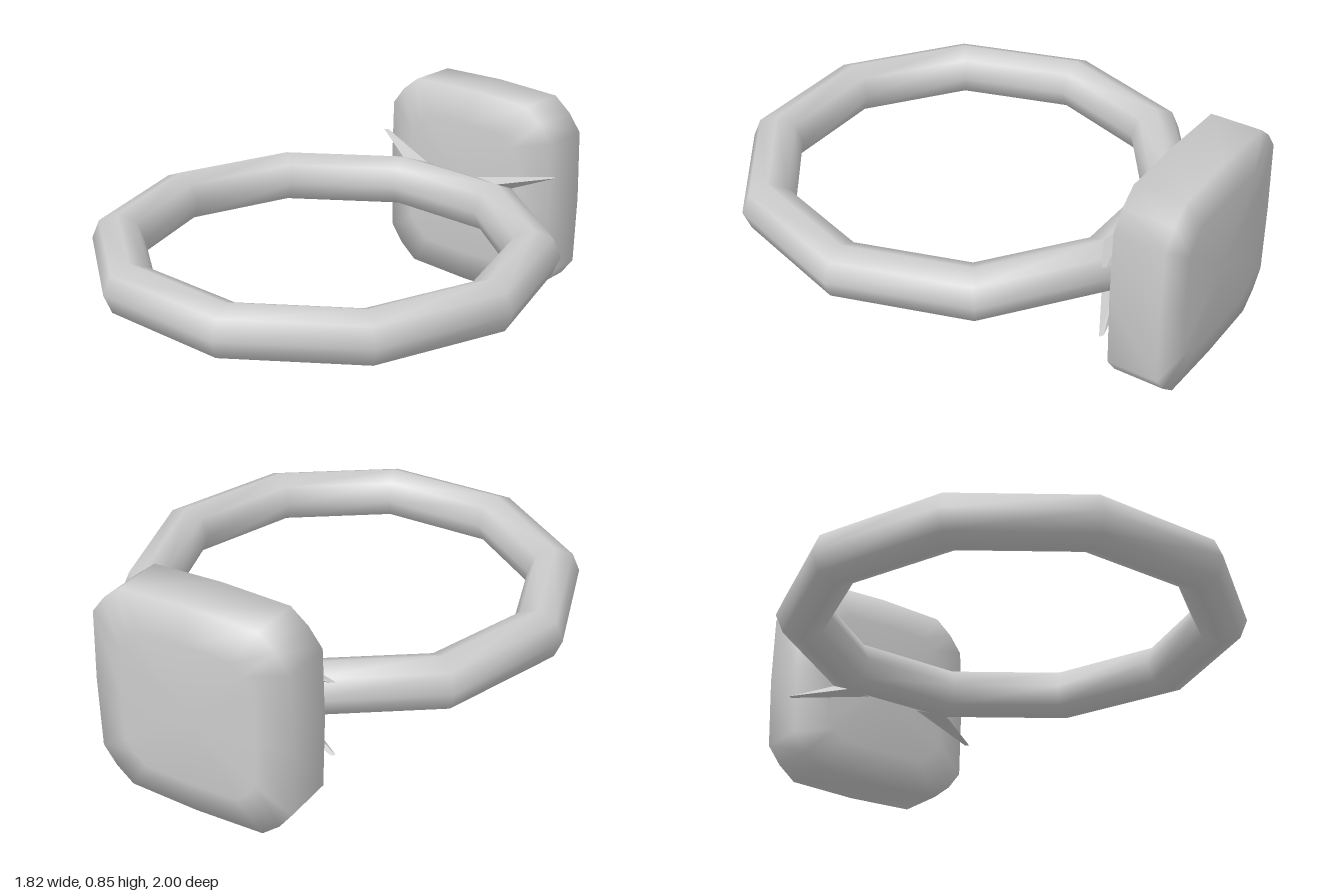
import * as THREE from 'three';
import { ConvexGeometry } from 'three/addons/geometries/ConvexGeometry.js';

const grey = new THREE.MeshStandardMaterial({ color: 0xcccccc });
const MID_Y = 0.425;

function addMesh(parent, name, geometry) {
  const mesh = new THREE.Mesh(geometry, grey);
  mesh.name = name;
  parent.add(mesh);
  return mesh;
}

// Cushion-cut stone: rounded-square loops stacked along z, closed at both ends
function stoneGeometry() {
  const quarter = [[0.42, 0], [0.412, 0.285], [0.357, 0.357], [0.285, 0.415], [0, 0.425]];
  const half = [...quarter, ...quarter.slice(0, -1).reverse().map(([x, y]) => [-x, y])];
  const outline = [...half, ...half.slice(1, -1).reverse().map(([x, y]) => [x, -y])];
  const n = outline.length;
  const loops = [[0.68, -0.133], [1, -0.102], [1, 0.102], [0.68, 0.133]];
  const positions = [], index = [];
  for (const [scale, z] of loops)
    for (const [x, y] of outline) positions.push(x * scale, y * scale, z);
  const back = loops.length * n, front = back + 1;
  positions.push(0, 0, -0.133, 0, 0, 0.133);
  for (let i = 0; i < n; i++) {
    const j = (i + 1) % n;
    for (let k = 0; k < loops.length - 1; k++) {
      const a = k * n + i, b = k * n + j;
      index.push(a, b, b + n, a, b + n, a + n);
    }
    const last = (loops.length - 1) * n;
    index.push(back, j, i, front, last + i, last + j);
  }
  const geometry = new THREE.BufferGeometry();
  geometry.setAttribute('position', new THREE.Float32BufferAttribute(positions, 3));
  geometry.setIndex(index);
  geometry.computeVertexNormals();
  return geometry;
}

// Thin claw rising from the band towards a corner of the stone
function prongGeometry(sx, sy) {
  const points = [
    [0.14, 0.079, -0.706], [0.13, 0.102, -0.655], [0.249, 0.105, -0.636],
    [0.272, 0.074, -0.706], [0.44, 0.152, -0.76], [0.455, 0.152, -0.75],
  ];
  return new ConvexGeometry(points.map(([x, y, z]) => new THREE.Vector3(x * sx, y * sy, z)));
}

export function createModel() {
  const ring = new THREE.Group();
  ring.name = 'ring';

  // Ten-sided band lying flat
  const band = addMesh(ring, 'band', new THREE.TorusGeometry(0.805, 0.105, 8, 10).rotateX(Math.PI / 2));
  band.position.set(0, MID_Y + 0.004, 0.13);

  // Stone at the back of the band
  const stone = addMesh(ring, 'stone', stoneGeometry());
  stone.position.set(0, MID_Y, -0.867);

  // Four mirrored prongs
  const prongs = new THREE.Group();
  prongs.name = 'prongs';
  prongs.position.y = MID_Y + 0.004;
  for (const sx of [1, -1])
    for (const sy of [1, -1])
      addMesh(prongs, `${sy > 0 ? 'upper' : 'lower'}${sx > 0 ? 'Left' : 'Right'}Prong`, prongGeometry(sx, sy));
  ring.add(prongs);

  return ring;
}
